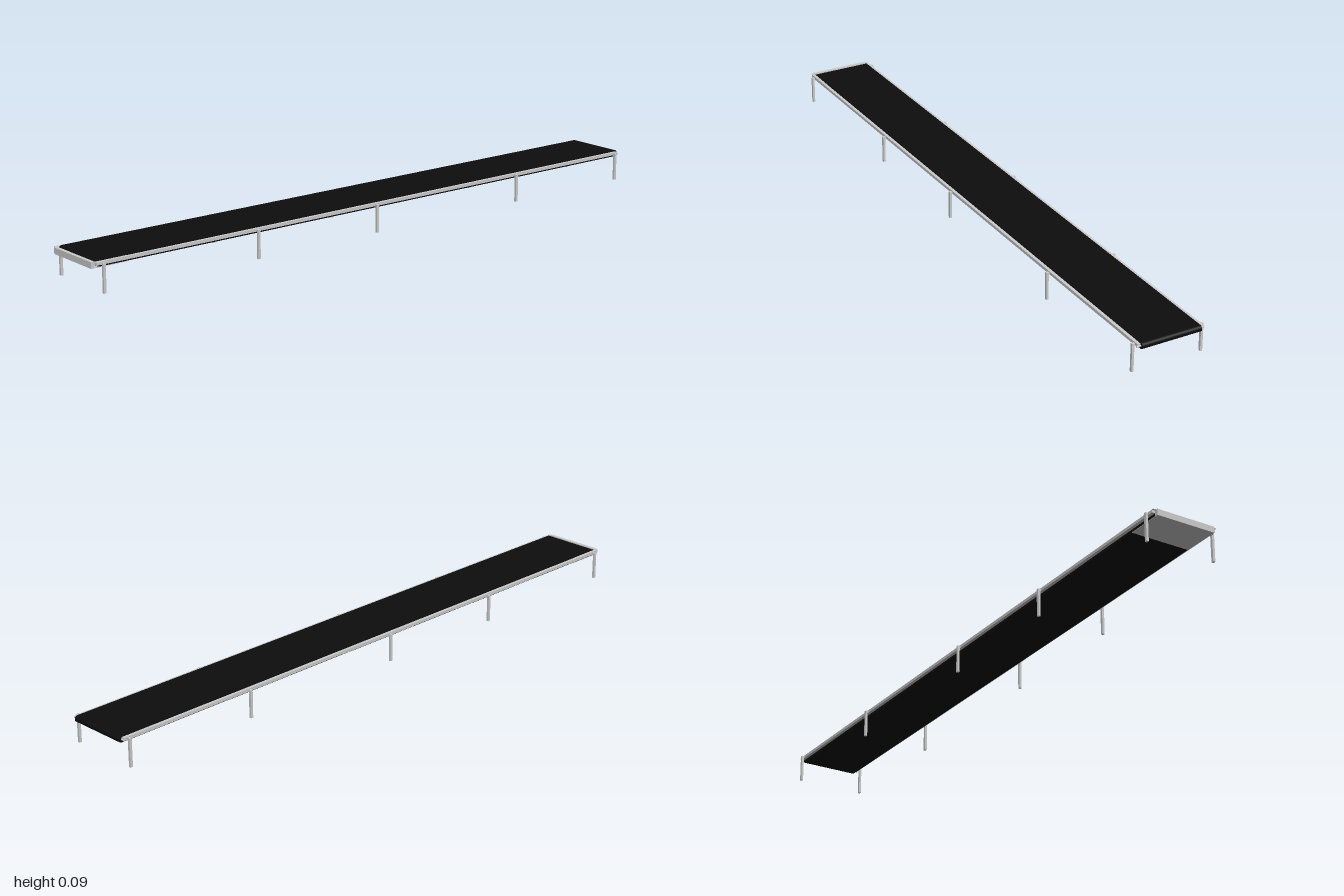
import * as THREE from 'three';

const grey = new THREE.MeshStandardMaterial({ color: 0xcccccc });
const white = new THREE.MeshStandardMaterial({ color: 0xf4f4f4 });
const black = new THREE.MeshStandardMaterial({ color: 0x0d0d0d });

export function createModel() {
  const model = new THREE.Group();

  const add = (name, geometry, material, x, y, z) => {
    const mesh = new THREE.Mesh(geometry, material);
    mesh.name = name;
    mesh.position.set(x, y, z);
    model.add(mesh);
    return mesh;
  };
  // Box given by its limits on each axis
  const box = (name, [x0, x1], [y0, y1], [z0, z1], material = grey) =>
    add(name, new THREE.BoxGeometry(x1 - x0, y1 - y0, z1 - z0), material,
      (x0 + x1) / 2, (y0 + y1) / 2, (z0 + z1) / 2);

  // Belt: long loop with rounded ends
  const r = 0.0095, beltY = 0.0815, x0 = -0.985, x1 = 1, halfWidth = 0.093;
  const loop = new THREE.Shape();
  loop.absarc(x1 - r, 0, r, -Math.PI / 2, Math.PI / 2, false);
  loop.absarc(x0 + r, 0, r, Math.PI / 2, Math.PI * 1.5, false);
  loop.closePath();
  const beltGeometry = new THREE.ExtrudeGeometry(loop,
    { depth: halfWidth * 2, bevelEnabled: false, curveSegments: 12 });
  add('belt', beltGeometry, black, 0, beltY, -halfWidth);

  // Roller shafts at both ends
  for (const x of [x0 + r, x1 - r]) {
    const shaft = new THREE.CylinderGeometry(0.0025, 0.0025, 0.212, 12).rotateX(Math.PI / 2);
    add('rollerShaft', shaft, grey, x, beltY, 0);
  }

  const legXs = [-0.97, -0.455, -0.02, 0.54, 0.975];
  for (const side of [1, -1]) {
    const span = (a, b) => side > 0 ? [a, b] : [-b, -a];

    // Side rail
    box('sideRail', [-0.99, 0.99], [0.079, 0.088], span(0.0935, 0.103));
    // Pale trim over the rail at the tail end
    box('tailTrim', [-0.995, -0.885], [0.087, 0.0885], span(0.0935, 0.1025), white);

    // Legs with a short bracket to the rail
    for (const x of legXs) {
      box('leg', [x - 0.004, x + 0.004], [0, 0.085], span(0.105, 0.112));
      box('legBracket', [x - 0.004, x + 0.004], [0.079, 0.085], span(0.1, 0.108));
    }
  }

  // Tail guard: plate under the belt and wall across the end
  box('tailPlate', [-1, -0.885], [0.07, 0.0715], [-halfWidth, halfWidth], white);
  box('tailWall', [-1, -0.989], [0.0715, 0.0885], [-halfWidth, halfWidth], white);

  return model;
}
